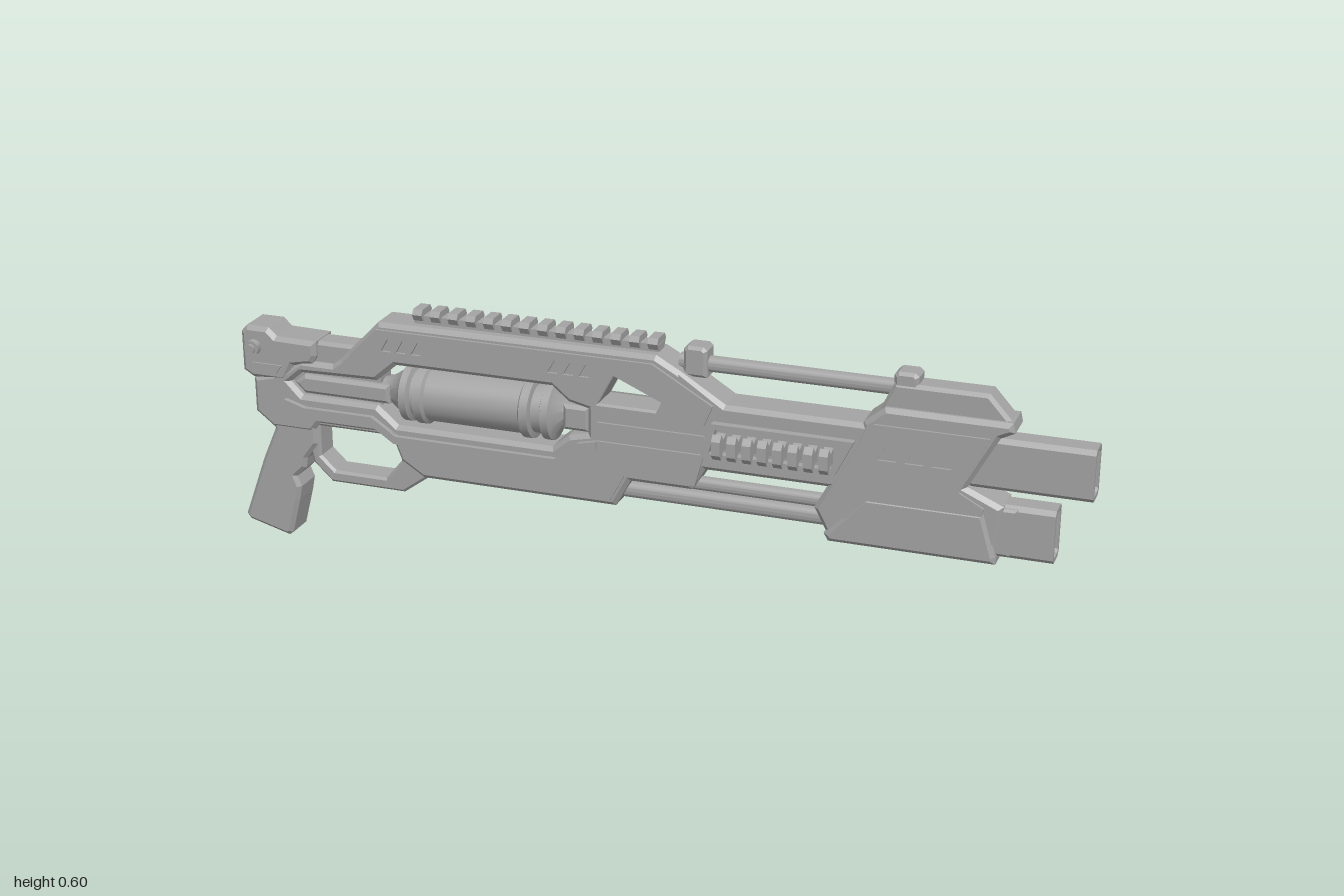
import * as THREE from 'three';
import { toCreasedNormals } from 'three/addons/utils/BufferGeometryUtils.js';

const steel = new THREE.MeshStandardMaterial({ color: 0xa3a3a3 });
steel.name = 'grey steel';

const toPath = (pts, Type) => new Type(pts.map(([x, y]) => new THREE.Vector2(x, y)));

function shapeOf(pts, holes = []) {
  const s = toPath(pts, THREE.Shape);
  holes.forEach((h) => s.holes.push(toPath(h, THREE.Path)));
  return s;
}

export function createModel() {
  const group = new THREE.Group();
  const add = (name, geo, x = 0, y = 0, z = 0) => {
    const m = new THREE.Mesh(geo, steel);
    m.name = name;
    m.position.set(x, y, z);
    group.add(m);
    return m;
  };
  // Side profile, symmetric about z = 0, with chamfered edges
  const prism = (name, pts, half, b = 0.01, holes = []) => {
    const geo = new THREE.ExtrudeGeometry(shapeOf(pts, holes), {
      depth: 2 * (half - b), bevelEnabled: b > 0, bevelSize: b, bevelThickness: b,
      bevelOffset: -b, bevelSegments: 1,
    });
    return add(name, geo.translate(0, 0, -(half - b)));
  };
  // Flat cover plate on both sides
  const plates = (name, pts, z0, z1, holes = []) => {
    for (const z of [z0, -z1]) {
      const geo = new THREE.ExtrudeGeometry(shapeOf(pts, holes), { depth: z1 - z0, bevelEnabled: false });
      add(name, geo.translate(0, 0, z));
    }
  };
  const box = (name, x0, x1, y0, y1, half) =>
    add(name, new THREE.BoxGeometry(x1 - x0, y1 - y0, 2 * half), (x0 + x1) / 2, (y0 + y1) / 2);
  // Turned part along x, profile given as [x, radius]
  const turned = (name, prof, y, sides = 28) => {
    const geo = new THREE.LatheGeometry(prof.map(([x, r]) => new THREE.Vector2(r, x)), sides);
    return add(name, toCreasedNormals(geo.rotateZ(-Math.PI / 2), 0.6), 0, y);
  };
  const rod = (name, x0, x1, y, r) => turned(name, [[x0, 0], [x0, r], [x1, r], [x1, 0]], y, 16);
  // Rows of slanted vent slots
  const slots = (x, y, w, h, pitch, skew) => [0, 1, 2].map((i) => {
    const c = x + i * pitch;
    return [[c, y], [c + w, y], [c + w + skew, y + h], [c + skew, y + h]];
  });

  // Receiver body with the canister bay and the through window
  const windowHole = [[-0.1, 0.445], [-0.055, 0.53], [0.08, 0.53], [0.04, 0.445]];
  const bay = [[-0.86, 0.4], [-0.83, 0.425], [-0.64, 0.43], [-0.59, 0.473], [-0.21, 0.473], [-0.17, 0.44],
    [-0.125, 0.43], [-0.125, 0.37], [-0.17, 0.36], [-0.21, 0.327], [-0.59, 0.327], [-0.64, 0.37], [-0.83, 0.37]];
  prism('receiver', [[-0.955, 0.4], [-0.955, 0.315], [-0.91, 0.28], [-0.81, 0.28], [-0.79, 0.305],
    [-0.61, 0.305], [-0.585, 0.24], [-0.53, 0.205], [-0.06, 0.205], [-0.025, 0.27], [0.12, 0.27],
    [0.15, 0.322], [0.52, 0.322], [0.52, 0.48], [0.195, 0.48], [0.09, 0.545], [0.035, 0.575], [-0.63, 0.572],
    [-0.73, 0.47], [-0.75, 0.455], [-0.83, 0.455], [-0.88, 0.42]], 0.046, 0.01, [windowHole, bay]);
  plates('upperCover', [[-0.7, 0.488], [-0.632, 0.558], [0.03, 0.558], [0.17, 0.477], [0.15, 0.43],
    [-0.1, 0.43], [-0.15, 0.488]], 0.045, 0.053,
  [windowHole, ...slots(-0.62, 0.508, 0.024, 0.03, 0.037, 0.017), ...slots(-0.215, 0.508, 0.024, 0.03, 0.037, 0.017)]);
  plates('lowerCover', [[-0.87, 0.36], [-0.82, 0.345], [-0.65, 0.345], [-0.59, 0.305], [-0.2, 0.305],
    [-0.145, 0.35], [-0.1, 0.36], [0.15, 0.36], [0.13, 0.285], [-0.035, 0.285], [-0.07, 0.22], [-0.525, 0.22],
    [-0.575, 0.25], [-0.6, 0.315], [-0.87, 0.315]].reverse(), 0.045, 0.052);
  plates('bayTrim', [[-0.87, 0.36], [-0.82, 0.345], [-0.65, 0.345], [-0.59, 0.305], [-0.2, 0.305],
    [-0.145, 0.35], [-0.1, 0.36], [-0.1, 0.342], [-0.14, 0.33], [-0.195, 0.287], [-0.595, 0.287],
    [-0.655, 0.327], [-0.83, 0.327], [-0.88, 0.345]].reverse(), 0.051, 0.058);
  plates('sideStrip', [[-0.1, 0.375], [0.16, 0.375], [0.15, 0.405], [-0.1, 0.405]], 0.045, 0.052);
  box('channelFloor', -0.86, -0.635, 0.365, 0.435, 0.026);

  // Gas canister in the bay
  turned('canister', [[-0.84, 0], [-0.82, 0.02], [-0.79, 0.027], [-0.63, 0.027], [-0.61, 0.035], [-0.585, 0.052],
    [-0.575, 0.068], [-0.558, 0.068], [-0.553, 0.056], [-0.543, 0.056], [-0.54, 0.07], [-0.52, 0.07],
    [-0.515, 0.062], [-0.285, 0.062], [-0.28, 0.07], [-0.26, 0.07], [-0.257, 0.056], [-0.235, 0.056],
    [-0.23, 0.068], [-0.212, 0.068], [-0.205, 0.05], [-0.19, 0.03], [-0.12, 0.028], [-0.12, 0]], 0.4);
  prism('canisterFeed', [[-0.85, 0.4], [-0.825, 0.375], [-0.61, 0.375], [-0.61, 0.42], [-0.825, 0.42]], 0.042, 0.008);
  prism('canisterValve', [[-0.185, 0.372], [-0.122, 0.372], [-0.122, 0.432], [-0.185, 0.432]], 0.042, 0.008);

  // Rear block, bolt and side knob
  prism('rearBlock', [[-0.98, 0.415], [-0.955, 0.4], [-0.87, 0.4], [-0.85, 0.44], [-0.8, 0.45], [-0.79, 0.47],
    [-0.79, 0.505], [-0.89, 0.507], [-0.91, 0.526], [-0.965, 0.526], [-0.98, 0.51]], 0.048, 0.01);
  prism('bolt', [[-0.82, 0.44], [-0.64, 0.44], [-0.64, 0.503], [-0.82, 0.503]], 0.032, 0.008);
  plates('rearBlockInset', [[-0.95, 0.42], [-0.89, 0.42], [-0.875, 0.44], [-0.95, 0.44]], 0.046, 0.053);
  for (const [r, z] of [[0.018, 0.055], [0.011, 0.063]]) {
    add('sideKnob', toCreasedNormals(new THREE.CylinderGeometry(r, r, 0.018, 16).rotateX(Math.PI / 2), 0.6), -0.945, 0.478, z);
  }

  // Grip and trigger guard
  prism('grip', [[-0.92, 0.32], [-0.91, 0.275], [-0.945, 0.195], [-1, 0.045], [-0.99, 0.032], [-0.89, 0.005],
    [-0.88, 0.012], [-0.857, 0.1], [-0.85, 0.135], [-0.86, 0.16], [-0.835, 0.185], [-0.83, 0.21],
    [-0.8, 0.25], [-0.8, 0.32]], 0.042, 0.009);
  prism('triggerGuard', [[-0.84, 0.31], [-0.815, 0.2], [-0.77, 0.158], [-0.585, 0.158], [-0.52, 0.205], [-0.52, 0.31]],
    0.034, 0.006, [[[-0.795, 0.295], [-0.61, 0.295], [-0.59, 0.265], [-0.59, 0.235], [-0.63, 0.187], [-0.76, 0.187], [-0.795, 0.22]]]);

  // Top accessory rail
  box('railBase', -0.55, 0.035, 0.57, 0.592, 0.018);
  const tooth = [[-0.02, 0.58], [0.02, 0.58], [0.029, 0.595], [0.021, 0.607], [-0.021, 0.607], [-0.029, 0.595]];
  for (let i = 0; i < 14; i++) {
    const geo = new THREE.ExtrudeGeometry(shapeOf(tooth), { depth: 0.023, bevelEnabled: false });
    add('railTooth', geo.rotateY(Math.PI / 2), -0.55 + i * 0.0432);
  }

  // Top tube with its two clamps, and lower tubes
  rod('topTube', 0.08, 0.6, 0.557, 0.018);
  for (const x of [0.12, 0.59]) {
    prism('tubeClamp', [[x - 0.027, 0.53], [x + 0.027, 0.53], [x + 0.027, 0.592], [x + 0.018, 0.6],
      [x - 0.018, 0.6], [x - 0.027, 0.592]], 0.028, 0.007);
  }
  rod('upperSlideTube', -0.04, 0.45, 0.272, 0.016);
  rod('lowerSlideTube', -0.06, 0.45, 0.235, 0.02);

  // Ribbed side grips
  plates('gripPanel', [[0.145, 0.36], [0.45, 0.36], [0.49, 0.442], [0.17, 0.442]], 0.045, 0.064,
    [[[0.165, 0.372], [0.44, 0.372], [0.465, 0.43], [0.18, 0.43]]]);
  for (const s of [1, -1]) {
    for (let i = 0; i < 8; i++) {
      const pts = [[0.044, 0.38], [0.066, 0.385], [0.08, 0.367], [0.091, 0.38], [0.091, 0.412], [0.08, 0.426],
        [0.066, 0.41], [0.044, 0.418]].map(([z, y]) => [-s * z, y]);
      const geo = new THREE.ExtrudeGeometry(shapeOf(pts), { depth: 0.02, bevelEnabled: false });
      add('gripRib', geo.rotateY(Math.PI / 2), 0.18 + i * 0.0345);
    }
  }

  // Front housing
  prism('frontHousing', [[0.4, 0.27], [0.435, 0.205], [0.8, 0.205], [0.815, 0.33], [0.735, 0.365], [0.8, 0.485],
    [0.83, 0.5], [0.825, 0.522], [0.55, 0.522], [0.505, 0.485], [0.49, 0.44]], 0.047, 0.01);
  plates('housingCover', [[0.425, 0.285], [0.44, 0.26], [0.76, 0.26], [0.775, 0.325], [0.72, 0.355], [0.78, 0.485],
    [0.53, 0.485], [0.51, 0.45]], 0.046, 0.053, slots(0.54, 0.405, 0.04, 0.047, 0.06, 0.025));
  prism('lowerGuard', [[0.425, 0.215], [0.435, 0.198], [0.805, 0.198], [0.805, 0.215], [0.775, 0.315], [0.515, 0.315]], 0.055, 0.01);
  prism('frontSight', [[0.53, 0.5], [0.565, 0.576], [0.77, 0.576], [0.825, 0.515], [0.825, 0.5]], 0.031, 0.008);

  // Two hollow rectangular barrels
  const loop = (h, w, c) => [[-w + c, -h], [w - c, -h], [w, -h + c], [w, h - c], [w - c, h], [-w + c, h], [-w, h - c], [-w, -h + c]];
  for (const [name, x0, x1, y, h] of [['upperBarrel', 0.7, 1, 0.421, 0.059], ['lowerBarrel', 0.74, 0.925, 0.27, 0.061]]) {
    const geo = new THREE.ExtrudeGeometry(shapeOf(loop(h, 0.032, 0.01), [loop(h - 0.01, 0.022, 0.007)]),
      { depth: x1 - x0, bevelEnabled: false });
    add(name, geo.rotateY(Math.PI / 2), x0, y);
    box(name + 'Core', x0, x1 - 0.06, y - h + 0.006, y + h - 0.006, 0.026);
  }
  prism('lowerBarrelCollar', [[0.77, 0.215], [0.83, 0.215], [0.845, 0.325], [0.77, 0.325]], 0.038, 0.006);

  return group;
}
